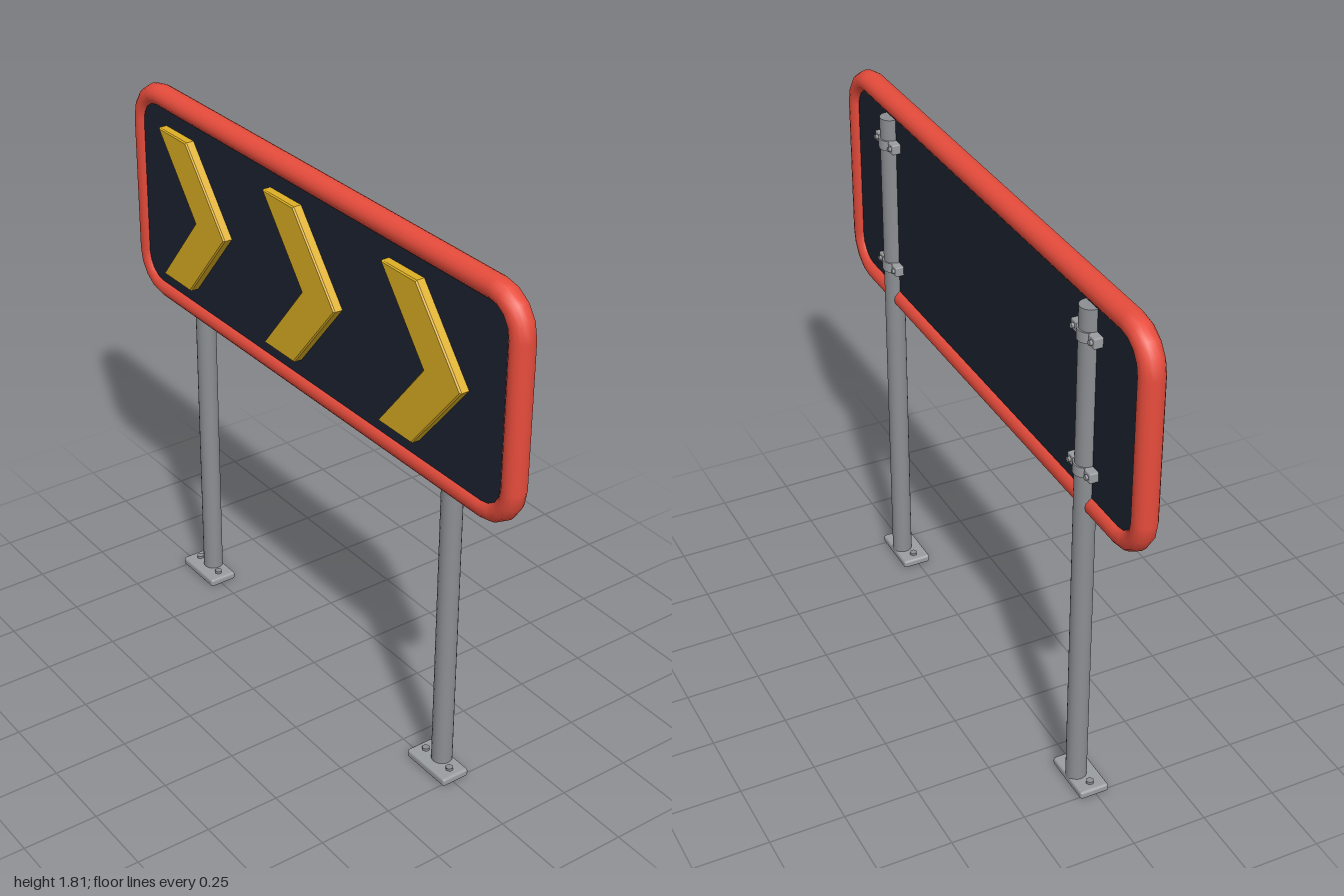
import * as THREE from 'three';
import { RoundedBoxGeometry } from 'three/addons/geometries/RoundedBoxGeometry.js';

const mat = (color, extra = {}) => new THREE.MeshStandardMaterial({ color, ...extra });
const RED = mat(0xe74c3c);
const NAVY = mat(0x1b2230);
const YELLOW = mat(0xdeb024);
const STEEL = mat(0x8c8f93);
const CLAMP = mat(0x9a9da1);

const CY = 1.43; // height of the board's centre

function add(parent, name, geometry, material, x = 0, y = 0, z = 0) {
  const mesh = new THREE.Mesh(geometry, material);
  mesh.name = name;
  mesh.position.set(x, y, z);
  parent.add(mesh);
  return mesh;
}

// Rounded rectangle as points with outward directions, counter-clockwise
function roundedLoop(hw, hh, r, steps) {
  const loop = [];
  [[1, 1], [-1, 1], [-1, -1], [1, -1]].forEach(([sx, sy], corner) => {
    for (let i = 0; i <= steps; i++) {
      const a = (corner + i / steps) * Math.PI / 2;
      const nx = Math.cos(a), ny = Math.sin(a);
      loop.push({ x: sx * (hw - r) + r * nx, y: sy * (hh - r) + r * ny, nx, ny });
    }
  });
  return loop;
}

// Closed rim: an oval section swept around the rounded rectangle
function rimGeometry() {
  const loop = roundedLoop(0.964, 0.347, 0.11, 4);
  const sides = 16, pos = [], idx = [];
  loop.forEach((p, i) => {
    for (let j = 0; j < sides; j++) {
      const t = (j / sides) * Math.PI * 2;
      const out = 0.036 * Math.cos(t);
      pos.push(p.x + p.nx * out, p.y + p.ny * out, 0.04 * Math.sin(t));
      const n = ((i + 1) % loop.length) * sides, m = i * sides, k = (j + 1) % sides;
      idx.push(m + j, n + j, n + k, m + j, n + k, m + k);
    }
  });
  const g = new THREE.BufferGeometry();
  g.setAttribute('position', new THREE.Float32BufferAttribute(pos, 3));
  g.setIndex(idx);
  g.computeVertexNormals();
  return g;
}

function panelGeometry() {
  const pts = roundedLoop(0.96, 0.343, 0.11, 4).map(p => new THREE.Vector2(p.x, p.y));
  return new THREE.ExtrudeGeometry(new THREE.Shape(pts), { depth: 0.045, bevelEnabled: false });
}

// Arrow pointing to +x, with a slim bevel at its face
function chevronGeometry() {
  const pts = [[-0.185, 0.26], [-0.185 + 0.157, 0.26], [0.183, 0], [-0.028, -0.26], [-0.185, -0.26], [0.023, 0]];
  const shape = new THREE.Shape(pts.map(([x, y]) => new THREE.Vector2(x, y)));
  return new THREE.ExtrudeGeometry(shape, {
    depth: 0.03, bevelEnabled: true, bevelThickness: 0.005, bevelSize: 0.004, bevelSegments: 1,
  });
}

// Strap around the back of a post, with a lug and bolt at each side
function makeClamp() {
  const clamp = new THREE.Group();
  clamp.name = 'clamp';
  const strap = new THREE.CylinderGeometry(0.039, 0.039, 0.034, 20);
  add(clamp, 'clampStrap', strap, CLAMP);
  for (const s of [-1, 1]) {
    add(clamp, 'clampLug', new RoundedBoxGeometry(0.036, 0.034, 0.036, 2, 0.004), CLAMP, s * 0.05, 0, -0.006);
    const bolt = add(clamp, 'clampBolt', new THREE.CylinderGeometry(0.009, 0.009, 0.01, 6), CLAMP, s * 0.052, 0, -0.027);
    bolt.rotation.x = Math.PI / 2;
  }
  return clamp;
}

function makePost(x) {
  const post = new THREE.Group();
  post.name = x > 0 ? 'leftPost' : 'rightPost';
  post.position.x = x;
  const z = -0.024;
  add(post, 'pole', new THREE.CylinderGeometry(0.034, 0.034, 1.72, 20), STEEL, 0, 0.88, z);
  for (const y of [1.207, 1.652]) {
    const clamp = makeClamp();
    clamp.position.set(0, y, z);
    post.add(clamp);
  }
  // Base plate with anchor bolts
  add(post, 'basePlate', new RoundedBoxGeometry(0.19, 0.028, 0.1, 2, 0.009), CLAMP, 0, 0.014, -0.007);
  for (const s of [-1, 1]) {
    add(post, 'anchorBolt', new THREE.CylinderGeometry(0.013, 0.013, 0.012, 6), STEEL, s * 0.06, 0.031, -0.007);
  }
  return post;
}

export function createModel() {
  const model = new THREE.Group();
  model.name = 'chevronRoadSign';

  // Board
  add(model, 'rim', rimGeometry(), RED, 0, CY);
  add(model, 'panel', panelGeometry(), NAVY, 0, CY, -0.02);
  const chevron = chevronGeometry();
  for (const x of [-0.606, -0.006, 0.594]) add(model, 'chevron', chevron, YELLOW, x, CY + 0.003, 0.021);

  // Supports
  for (const s of [-1, 1]) model.add(makePost(s * 0.668));
  return model;
}
